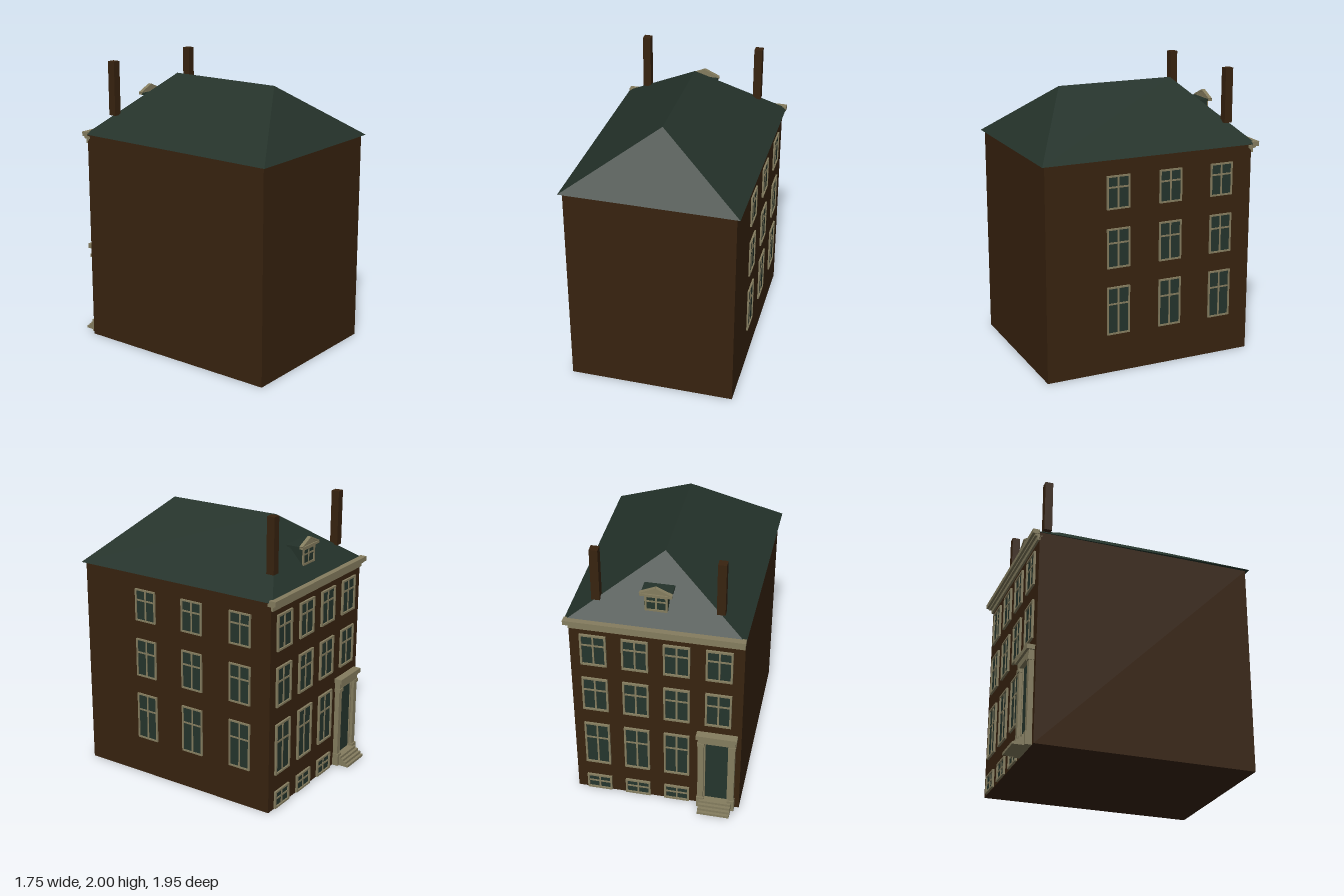
import * as THREE from 'three';

const mat = (name, color) => {
  const m = new THREE.MeshStandardMaterial({ color });
  m.name = name;
  return m;
};

export function createModel() {
  const brick = mat('brown brick', 0x38230f);
  const slate = mat('green slate', 0x24322a);
  const glass = mat('dark glass', 0x25352d);
  const trim = mat('cream trim', 0x857d5f);

  const model = new THREE.Group();
  model.name = 'townHouse';
  // The house stands at an angle; inside this group the facade faces +z
  const house = new THREE.Group();
  house.name = 'house';
  house.rotation.y = Math.PI + 0.43;
  model.add(house);

  // Box given by its lower and upper limits
  const box = (parent, name, m, x0, x1, y0, y1, z0, z1) => {
    const mesh = new THREE.Mesh(new THREE.BoxGeometry(x1 - x0, y1 - y0, z1 - z0), m);
    mesh.position.set((x0 + x1) / 2, (y0 + y1) / 2, (z0 + z1) / 2);
    mesh.name = name;
    parent.add(mesh);
    return mesh;
  };

  const L = -0.567, R = 0.595, F = 0.757, B = -0.76, EAVE = 1.495;
  box(house, 'walls', brick, L, R, 0, EAVE, B, F);

  // Hipped roof: four eave corners and two ridge ends
  const c = [[-0.592, EAVE, 0.783], [0.6, EAVE, 0.778], [0.62, EAVE, -0.782], [-0.592, EAVE, -0.783]];
  const r = [[0.01, 1.887, 0.424], [0.01, 1.887, -0.42]];
  const faces = [
    c[0], c[1], r[0], c[1], c[2], r[1], c[1], r[1], r[0], c[2], c[3], r[1],
    c[3], c[0], r[0], c[3], r[0], r[1], c[0], c[3], c[2], c[0], c[2], c[1],
  ];
  const roofGeo = new THREE.BufferGeometry();
  roofGeo.setAttribute('position', new THREE.Float32BufferAttribute(faces.flat(), 3));
  roofGeo.computeVertexNormals();
  const roof = new THREE.Mesh(roofGeo, slate);
  roof.name = 'roof';
  house.add(roof);

  // Chimneys
  for (const x of [-0.396, 0.42]) {
    box(house, 'chimney', brick, x - 0.028, x + 0.028, 1.62, 2, 0.627, 0.683);
  }

  // Stepped cornice along the facade
  const cornice = new THREE.Group();
  cornice.name = 'cornice';
  house.add(cornice);
  box(cornice, 'corniceFrieze', trim, L, R, 1.435, 1.465, F - 0.01, 0.772);
  box(cornice, 'corniceMoulding', trim, L - 0.01, R, 1.465, 1.485, F - 0.02, 0.788);
  box(cornice, 'corniceGutter', trim, L - 0.025, R + 0.005, 1.48, 1.512, F, 0.805);

  // Framed window with one upright and one transom, facing +z
  const makeWindow = (name, w, y0, y1, transom, depth = 0.015, t = 0.013) => {
    const g = new THREE.Group();
    g.name = name;
    const h = w / 2;
    box(g, 'pane', glass, -h + t / 2, h - t / 2, y0 + t / 2, y1 - t / 2, -0.003, 0.004);
    for (const s of [-1, 1]) {
      const x = s * (h - t / 2);
      box(g, 'jamb', trim, x - t / 2, x + t / 2, y0, y1, 0, depth);
    }
    box(g, 'lintel', trim, -h, h, y1 - t, y1, 0, depth);
    box(g, 'sill', trim, -h, h, y0, y0 + t, 0, depth);
    box(g, 'upright', trim, -0.006, 0.006, y0 + t, y1 - t, 0, depth * 0.6);
    box(g, 'transom', trim, -h + t, h - t, transom - 0.006, transom + 0.006, 0, depth * 0.6);
    return g;
  };

  // Facade windows: three floors and a basement row beside the door
  const columns = [-0.408, -0.129, 0.15, 0.432];
  const rows = [[1.14, 1.39, 1.303], [0.747, 1.027, 0.922], [0.255, 0.622, 0.49], [0.004, 0.13, 0.07]];
  rows.forEach(([y0, y1, tr], i) => {
    columns.forEach((x, j) => {
      if (i > 1 && j === 3) return;
      const win = makeWindow('facadeWindow', 0.178, y0, y1, tr);
      win.position.set(x, 0, F);
      house.add(win);
    });
  });

  // Side windows
  for (const [y0, y1, tr] of [[1.156, 1.385, 1.305], [0.748, 1.024, 0.923], [0.276, 0.615, 0.493]]) {
    for (const z of [-0.244, 0.14, 0.526]) {
      const win = makeWindow('sideWindow', 0.167, y0, y1, tr, 0.012, 0.011);
      win.position.set(L, 0, z);
      win.rotation.y = -Math.PI / 2;
      house.add(win);
    }
  }

  // Doorway with pilasters, entablature and steps
  const door = new THREE.Group();
  door.name = 'doorway';
  door.position.set(0.43, 0, F);
  house.add(door);
  box(door, 'doorPanel', glass, -0.09, 0.09, 0.07, 0.61, -0.003, 0.006);
  for (const s of [-1, 1]) {
    const x = s * 0.108;
    box(door, 'pilaster', trim, x - 0.02, x + 0.02, 0, 0.6, 0, 0.035);
    box(door, 'pilasterBase', trim, x - 0.025, x + 0.025, 0, 0.09, 0, 0.045);
    box(door, 'pilasterCapital', trim, x - 0.025, x + 0.025, 0.575, 0.6, 0, 0.043);
    box(door, 'doorJamb', trim, s * 0.084 - 0.006, s * 0.084 + 0.006, 0.07, 0.6, 0, 0.015);
  }
  box(door, 'architrave', trim, -0.128, 0.128, 0.6, 0.645, 0, 0.038);
  box(door, 'doorCornice', trim, -0.14, 0.14, 0.645, 0.678, 0, 0.055);
  for (let i = 0; i < 4; i++) {
    box(door, 'step', trim, -0.114, 0.112, i * 0.018, (i + 1) * 0.018, 0, 0.119 - i * 0.02);
  }

  // Dormer with a flat roof behind a small pediment
  const dormer = new THREE.Group();
  dormer.name = 'dormer';
  house.add(dormer);
  box(dormer, 'dormerBody', slate, -0.076, 0.08, 1.58, 1.715, 0.56, 0.682);
  box(dormer, 'dormerRoof', slate, -0.098, 0.104, 1.712, 1.726, 0.566, 0.69);
  const dormerWindow = makeWindow('dormerWindow', 0.15, 1.592, 1.712, 1.665, 0.01, 0.014);
  dormerWindow.position.set(0.002, 0, 0.682);
  dormer.add(dormerWindow);
  box(dormer, 'pedimentBase', trim, -0.103, 0.108, 1.712, 1.728, 0.678, 0.705);
  const gable = new THREE.Shape([
    new THREE.Vector2(-0.1, 0), new THREE.Vector2(0.1, 0), new THREE.Vector2(0, 0.045),
  ]);
  const pediment = new THREE.Mesh(
    new THREE.ExtrudeGeometry(gable, { depth: 0.016, bevelEnabled: false }), trim);
  pediment.name = 'pediment';
  pediment.position.set(0.002, 1.726, 0.68);
  dormer.add(pediment);
  for (const s of [-1, 1]) {
    const rake = box(dormer, 'pedimentRake', trim, -0.058, 0.058, -0.006, 0.006, -0.013, 0.013);
    rake.position.set(0.002 + s * 0.052, 1.75, 0.69);
    rake.rotation.z = -s * 0.42;
  }

  return model;
}
